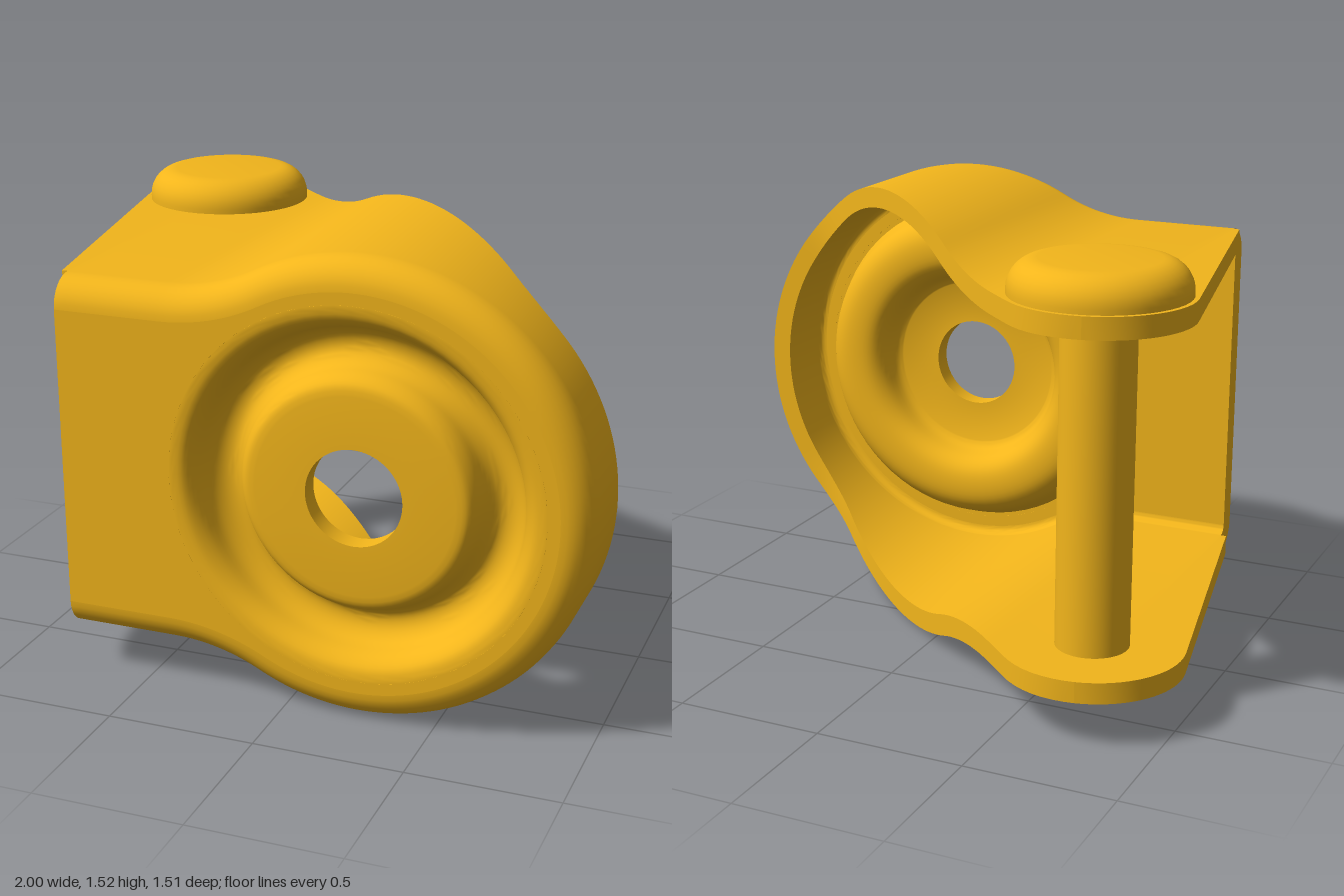
import * as THREE from 'three';
import { toCreasedNormals } from 'three/addons/utils/BufferGeometryUtils.js';

const CX = 0.24, CY = 0.76, R = 0.76;      // round end of the housing
const TOP = 1.365, T = 0.07;               // flat arm height, sheet thickness
const FRONT = 0.755, FILLET = 0.1, LEFT = -0.76;
const PX = -0.7, PZ = -0.46, PR = 0.3;     // rounded arm tip around the pin
const CREASE = 0.6;

// Rear limit of the side wall at a given x
function backZ(x) {
  if (x < -0.495) return PZ - Math.sqrt(PR * PR - (x - PX) ** 2);
  if (x < 0.62) return -0.22 + 0.93 * x;
  if (x < 0.82) return 0.45 - 0.93 * (0.82 - x) ** 2 / 0.4;
  return 0.45;
}

// Outline of the housing as points with inward normals, top left to bottom left
function outline() {
  const pts = [];
  const add = (x, y, nx, ny) => pts.push({ x, y, nx, ny });
  for (let i = 0; i < 10; i++) add(LEFT + (0.36 * i) / 10, TOP, 0, -1);
  const r = 0.64, ax = -0.4, ay = TOP + r;
  const phi = Math.atan2(ay - CY, ax - CX);
  for (let i = 0; i < 12; i++) {
    const a = -Math.PI / 2 + (phi - Math.PI / 2) * (i / 12);
    add(ax + r * Math.cos(a), ay + r * Math.sin(a), Math.cos(a), Math.sin(a));
  }
  for (let i = 0; i <= 48; i++) {
    const a = phi * (1 - i / 48);
    add(CX + R * Math.cos(a), CY + R * Math.sin(a), -Math.cos(a), -Math.sin(a));
  }
  const lower = pts.slice(0, -1).reverse().map(p => ({ x: p.x, y: 2 * CY - p.y, nx: p.nx, ny: -p.ny }));
  return pts.concat(lower);
}

// Side wall with the rounded front edge, swept along the outline
function wallGeometry(path) {
  const N = 8, pos = [], rings = [];
  for (const p of path) {
    const at = (d, z) => {
      const x = p.x + p.nx * d;
      return [x, p.y + p.ny * d, z === null ? backZ(x) : z];
    };
    const side = (d0, r) => {
      const s = [at(d0, null)];
      for (let i = 0; i <= N; i++) {
        const a = (i / N) * Math.PI / 2;
        s.push(at(FILLET - r * Math.cos(a), FRONT - FILLET + r * Math.sin(a)));
      }
      return s;
    };
    rings.push([...side(0, FILLET), ...side(T, FILLET - T).reverse()]);
  }
  const tri = (a, b, c) => pos.push(...a, ...b, ...c);
  const M = rings[0].length;
  for (let i = 0; i + 1 < rings.length; i++) {
    for (let j = 0; j < M; j++) {
      const k = (j + 1) % M, p = rings[i], q = rings[i + 1];
      tri(p[j], p[k], q[j]);
      tri(q[j], p[k], q[k]);
    }
  }
  // Cut ends at the open left side
  const s = rings[0], e = rings[rings.length - 1];
  for (let j = 0; j < M / 2 - 1; j++) {
    const m = M - 1 - j;
    tri(s[j], s[m], s[j + 1]);
    tri(s[j + 1], s[m], s[m - 1]);
    tri(e[j], e[j + 1], e[m]);
    tri(e[j + 1], e[m - 1], e[m]);
  }
  const g = new THREE.BufferGeometry();
  g.setAttribute('position', new THREE.Float32BufferAttribute(pos, 3));
  return toCreasedNormals(g, CREASE);
}

// Flat front sheet inside the rounded edge, open in the middle for the dish
function plateGeometry(path) {
  const shape = new THREE.Shape(path.map(p => new THREE.Vector2(p.x + p.nx * FILLET, p.y + p.ny * FILLET)));
  const hole = new THREE.Path();
  hole.absarc(CX, CY, 0.62, 0, Math.PI * 2, false);
  shape.holes.push(hole);
  return new THREE.ExtrudeGeometry(shape, { depth: T, bevelEnabled: false, curveSegments: 48 });
}

const spline = (pts, n) =>
  new THREE.SplineCurve(pts.map(p => new THREE.Vector2(...p))).getPoints(n);

const lathe = (pts, n) => toCreasedNormals(new THREE.LatheGeometry(pts, n), CREASE);

// Pressed ring groove around a raised centre with a bolt hole
function dishGeometry() {
  const v = (x, y) => new THREE.Vector2(x, y);
  const back = spline([[0.31, 0.67], [0.335, 0.65], [0.36, 0.59], [0.40, 0.555], [0.46, 0.545],
    [0.52, 0.555], [0.565, 0.59], [0.59, 0.65], [0.605, 0.685]], 30);
  const front = spline([[0.61, 0.755], [0.575, 0.745], [0.545, 0.71], [0.525, 0.655], [0.495, 0.625],
    [0.46, 0.615], [0.43, 0.625], [0.405, 0.655], [0.39, 0.70], [0.365, 0.732], [0.33, 0.74]], 36);
  const g = lathe([v(0.16, 0.67), ...back, v(0.62, 0.685), v(0.62, 0.755), ...front,
    v(0.16, 0.74), v(0.16, 0.67)], 72);
  g.rotateX(Math.PI / 2);
  g.translate(CX, CY, 0);
  return g;
}

// Arm corner reaching past the front sheet to the rounded tip
function armGeometry() {
  const s = new THREE.Shape();
  const a0 = THREE.MathUtils.degToRad(168.5), a1 = Math.PI + Math.acos(0.2);
  s.moveTo(LEFT, -(FRONT - FILLET));
  s.lineTo(-0.78, -(FRONT - FILLET));
  for (let i = 0; i <= 20; i++) {
    const a = a0 + (a1 - a0) * i / 20;
    s.lineTo(PX + PR * Math.cos(a), -(PZ + PR * Math.sin(a)));
  }
  s.closePath();
  const g = new THREE.ExtrudeGeometry(s, { depth: T, bevelEnabled: false });
  g.rotateX(-Math.PI / 2);
  return toCreasedNormals(g, CREASE);
}

// Rivet with a domed head on top and a hollow flared foot
function pinGeometry() {
  const pts = [];
  const add = (x, y) => pts.push(new THREE.Vector2(x, y));
  const arc = (x, y, r, from, to) => {
    for (let i = 0; i <= 8; i++) {
      const a = (from + (to - from) * i / 8) * Math.PI / 180;
      add(x + r * Math.cos(a), y + r * Math.sin(a));
    }
  };
  add(0, 0.18);
  add(0.06, 0.175);
  add(0.09, 0.155);
  arc(0.145, 0.14, 0.04, 180, 270);
  arc(0.17, 0.145, 0.045, 270, 360);
  add(0.215, 0.155);
  add(0.12, 0.155);
  add(0.12, TOP);
  add(0.285, TOP);
  arc(0.19, 1.38, 0.095, 0, 90);
  add(0, 1.475);
  return lathe(pts, 48);
}

export function createModel() {
  const model = new THREE.Group();
  model.name = 'forkBracket';
  const material = new THREE.MeshStandardMaterial({ color: 0xf2b51b });
  const add = (name, geometry, x = 0, y = 0, z = 0) => {
    const mesh = new THREE.Mesh(geometry, material);
    mesh.name = name;
    mesh.position.set(x, y, z);
    model.add(mesh);
  };

  const path = outline();
  add('sideWall', wallGeometry(path));
  add('frontPlate', plateGeometry(path), 0, 0, FRONT - T);
  add('pressedDish', dishGeometry());

  const arm = armGeometry();
  add('upperArmTip', arm, 0, TOP - T, 0);
  add('lowerArmTip', arm, 0, 2 * CY - TOP, 0);
  add('pin', pinGeometry(), PX, 0, PZ);
  return model;
}
